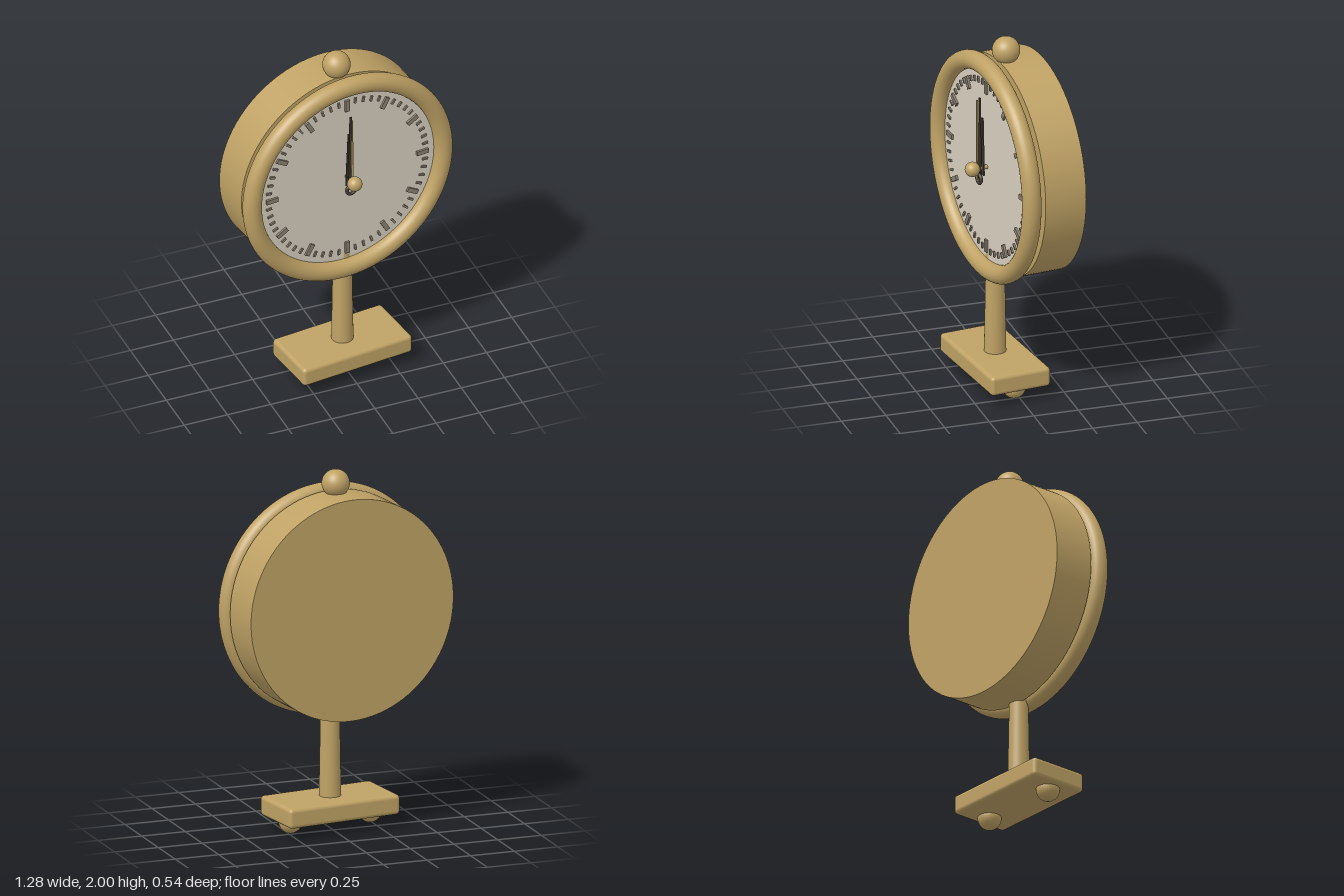
import * as THREE from 'three';
import { RoundedBoxGeometry } from 'three/addons/geometries/RoundedBoxGeometry.js';

const paint = (color) => new THREE.MeshStandardMaterial({ color });

export function createModel() {
  const brass = paint(0xbfa265), ivory = paint(0xd8d0c0), dark = paint(0x453f33), tickMat = paint(0x8a8070);
  const model = new THREE.Group();
  model.name = 'tableClock';

  // the whole clock is turned slightly to its left
  const clock = new THREE.Group();
  clock.name = 'clock';
  clock.rotation.y = 0.122;
  clock.position.x = -0.01;
  model.add(clock);

  const add = (parent, name, geometry, material, x, y, z) => {
    const mesh = new THREE.Mesh(geometry, material);
    mesh.name = name;
    mesh.position.set(x, y, z);
    parent.add(mesh);
    return mesh;
  };
  const ball = (parent, name, r, x, y, z) =>
    add(parent, name, new THREE.SphereGeometry(r, 32, 20), brass, x, y, z);
  // round plate whose flat sides face front and back
  const disc = (r, depth, sides = 96) => new THREE.CylinderGeometry(r, r, depth, sides).rotateX(Math.PI / 2);

  // stand: base plate, two ball feet, tapered stem reaching into the head
  add(clock, 'base', new RoundedBoxGeometry(0.67, 0.11, 0.35, 4, 0.022), brass, 0, 0.125, 0.055);
  for (const s of [-1, 1]) ball(clock, s < 0 ? 'rightFoot' : 'leftFoot', 0.064, s * 0.24, 0.064, 0.055);
  add(clock, 'stem', new THREE.CylinderGeometry(0.05, 0.06, 0.605, 40), brass, 0, 0.4625, 0.055);

  // head: drum, separate front ring, ball on top
  const head = new THREE.Group();
  head.name = 'head';
  head.position.y = 1.262;
  clock.add(head);
  add(head, 'case', disc(0.612, 0.239), brass, 0, 0, -0.0785);
  add(head, 'bezel', new THREE.TorusGeometry(0.586, 0.052, 28, 112), brass, 0, 0, 0.111);
  add(head, 'dial', disc(0.56, 0.03), ivory, 0, 0, 0.0875);
  ball(head, 'topBall', 0.076, 0, 0.662, -0.009);

  // sixty ticks, every fifth one larger
  const ticks = new THREE.Group();
  ticks.name = 'ticks';
  head.add(ticks);
  const hourTick = new THREE.BoxGeometry(0.026, 0.07, 0.02);
  const minuteTick = new THREE.BoxGeometry(0.012, 0.032, 0.014);
  for (let i = 0; i < 60; i++) {
    const big = i % 5 === 0, a = i * Math.PI / 30, r = big ? 0.462 : 0.482;
    const tick = add(ticks, big ? 'hourTick' : 'minuteTick', big ? hourTick : minuteTick, tickMat,
      Math.sin(a) * r, Math.cos(a) * r, 0.105);
    tick.rotation.z = -a;
  }

  // tapered hands, all pointing straight up
  const hand = (name, length, width, tail, material, z) => {
    const s = new THREE.Shape();
    s.moveTo(-width / 2, -tail);
    s.lineTo(width / 2, -tail);
    s.lineTo(width * 0.18, length);
    s.lineTo(-width * 0.18, length);
    s.closePath();
    add(head, name, new THREE.ExtrudeGeometry(s, { depth: 0.008, bevelEnabled: false }), material, 0, 0, z);
  };
  hand('hourHand', 0.29, 0.045, 0.04, dark, 0.126);
  hand('minuteHand', 0.41, 0.034, 0.06, dark, 0.142);
  hand('secondHand', 0.4, 0.014, 0.06, brass, 0.158);
  add(head, 'counterweight', new THREE.TorusGeometry(0.026, 0.01, 12, 32), dark, 0, -0.06, 0.15);

  // spindle and its knob
  add(head, 'spindle', disc(0.012, 0.09, 24), brass, 0, 0, 0.145);
  ball(head, 'knob', 0.041, 0, 0, 0.189);

  return model;
}
